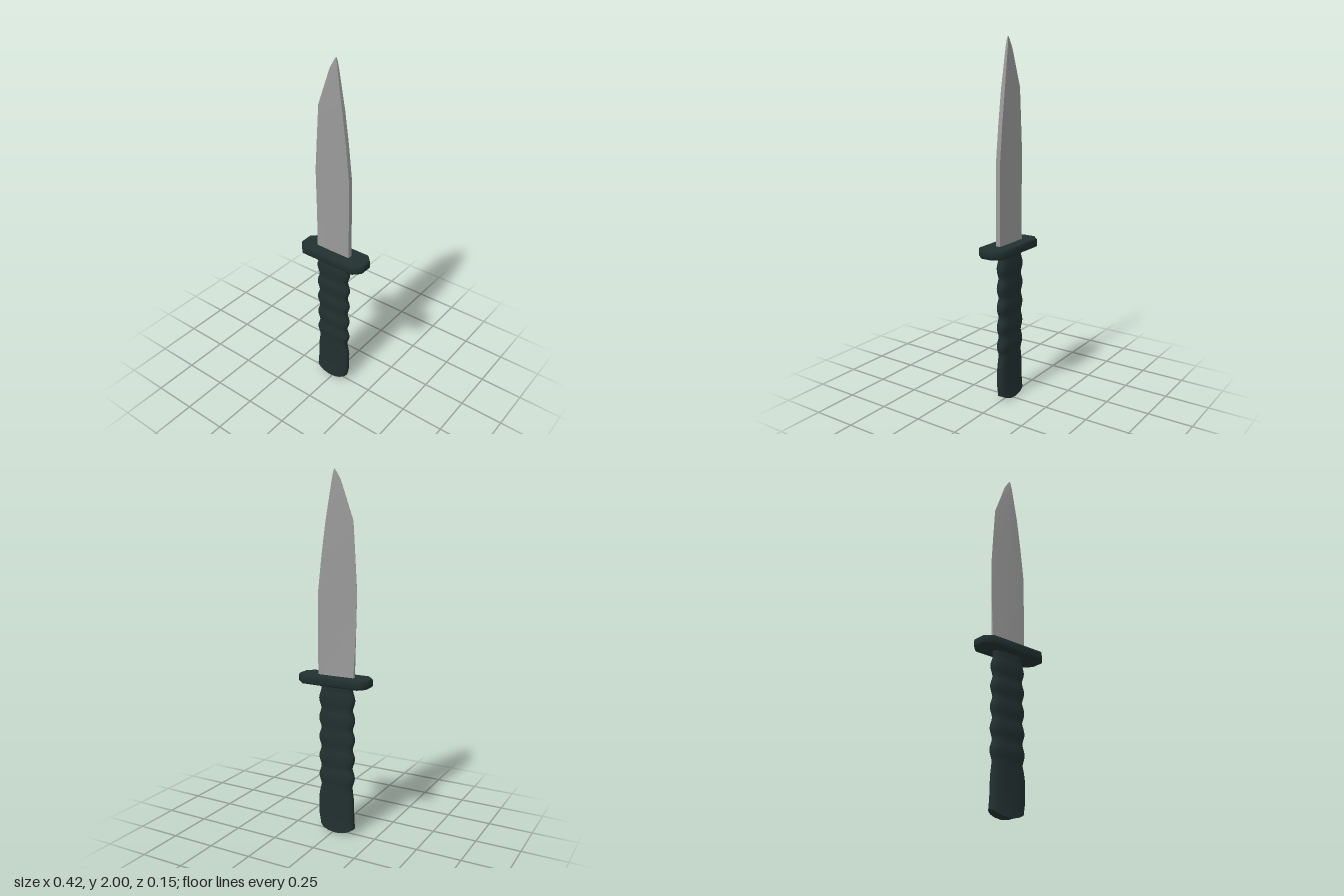
import * as THREE from 'three';
import { toCreasedNormals } from 'three/addons/utils/BufferGeometryUtils.js';

// Skin a stack of equal-sized rings (counter-clockwise from above), with fan caps
function loft(rings, crease) {
  const n = rings[0].length, pos = rings.flat(2), idx = [];
  for (let r = 0; r < rings.length - 1; r++) {
    for (let i = 0; i < n; i++) {
      const a = r * n + i, b = r * n + (i + 1) % n;
      idx.push(a, b, b + n, a, b + n, a + n);
    }
  }
  const cap = (ring, base, flip) => {
    const c = pos.length / 3;
    for (let k = 0; k < 3; k++) {
      const v = ring.map(p => p[k]);
      pos.push(k === 1 ? Math.min(...v) : v.reduce((s, x) => s + x, 0) / n);
    }
    for (let i = 0; i < n; i++) {
      const a = base + i, b = base + (i + 1) % n;
      idx.push(c, flip ? b : a, flip ? a : b);
    }
  };
  cap(rings[0], 0, true);
  cap(rings[rings.length - 1], (rings.length - 1) * n, false);
  const geo = new THREE.BufferGeometry();
  geo.setAttribute('position', new THREE.Float32BufferAttribute(pos, 3));
  geo.setIndex(idx);
  return toCreasedNormals(geo, crease);
}

export function createModel() {
  const group = new THREE.Group();
  const steel = new THREE.MeshStandardMaterial({ color: 0x9a9a9a });
  steel.name = 'steel';
  const rubber = new THREE.MeshStandardMaterial({ color: 0x223030 });
  rubber.name = 'dark green rubber';
  const add = (name, geo, mat) => {
    const mesh = new THREE.Mesh(geo, mat);
    mesh.name = name;
    group.add(mesh);
    return mesh;
  };

  // Blade: height, cutting edge x, thickest x, spine x, edge and spine half thickness
  const bladeRings = [
    [0.89, -0.115, -0.03, 0.1, 0.011, 0.013],
    [0.95, -0.117, -0.03, 0.1, 0.008, 0.013],
    [1.15, -0.125, 0.0, 0.1, 0.001, 0.013],
    [1.37, -0.13, 0.01, 0.098, 0.0005, 0.013],
    [1.56, -0.118, 0.01, 0.077, 0.0005, 0.0125],
    [1.74, -0.106, 0.01, 0.052, 0.0005, 0.012],
    [1.94, -0.034, 0.002, 0.019, 0.0005, 0.007],
    [1.985, -0.008, 0.003, 0.011, 0.0005, 0.004],
    [2.0, 0.003, 0.005, 0.008, 0.0003, 0.001],
  ].map(([y, edge, mid, spine, e, t]) => [
    [spine, y, t], [spine, y, -t], [mid, y, -t],
    [edge, y, -e], [edge, y, e], [mid, y, t],
  ]);
  add('blade', loft(bladeRings, 0.9), steel);

  // Guard: octagonal plate with softened rims
  const guardRings = [[0.86, 0.006], [0.867, 0], [0.9, 0], [0.908, 0.004]].map(([y, inset]) => {
    const X = 0.21 - inset, Z = 0.077 - inset, x = 0.17 - inset / 2, z = 0.036 - inset / 2;
    return [[X, z], [X, -z], [x, -Z], [-x, -Z], [-X, -z], [-X, z], [-x, Z], [x, Z]]
      .map(([px, pz]) => [px, y, pz]);
  });
  add('guard', loft(guardRings, 0.9), rubber);

  // Grip: flattened oval sections, left x, right x and half depth per height
  const SIDES = 20;
  const section = (y, left, right, depth, bottom = 0) => {
    const cx = (left + right) / 2, hx = (right - left) / 2, ring = [];
    for (let i = 0; i < SIDES; i++) {
      const a = (i / SIDES) * Math.PI * 2, c = Math.cos(a), s = -Math.sin(a);
      const px = Math.sign(c) * Math.abs(c) ** 0.7, pz = Math.sign(s) * Math.abs(s) ** 0.7;
      ring.push([cx + hx * px, y + bottom * px * px, depth * pz]);
    }
    return ring;
  };
  const gripRings = [
    section(0, -0.123, 0.088, 0.034, 0.032),
    section(0.03, -0.122, 0.092, 0.031, 0.02),
    section(0.09, -0.119, 0.1, 0.029),
    section(0.2, -0.116, 0.1, 0.028),
    section(0.24, -0.11, 0.093, 0.028),
  ];
  // Five finger ridges
  const PITCH = 0.112, STEPS = 8;
  for (let i = 0; i <= 5 * STEPS; i++) {
    const swell = (0.5 - 0.5 * Math.cos((i / STEPS) * Math.PI * 2)) ** 0.8;
    gripRings.push(section(0.272 + (i / STEPS) * PITCH,
      -0.106 - 0.014 * swell, 0.084 + 0.014 * swell, 0.028 + 0.005 * swell));
  }
  gripRings.push(section(0.868, -0.108, 0.085, 0.029));
  add('grip', loft(gripRings, 0.9), rubber);

  return group;
}
